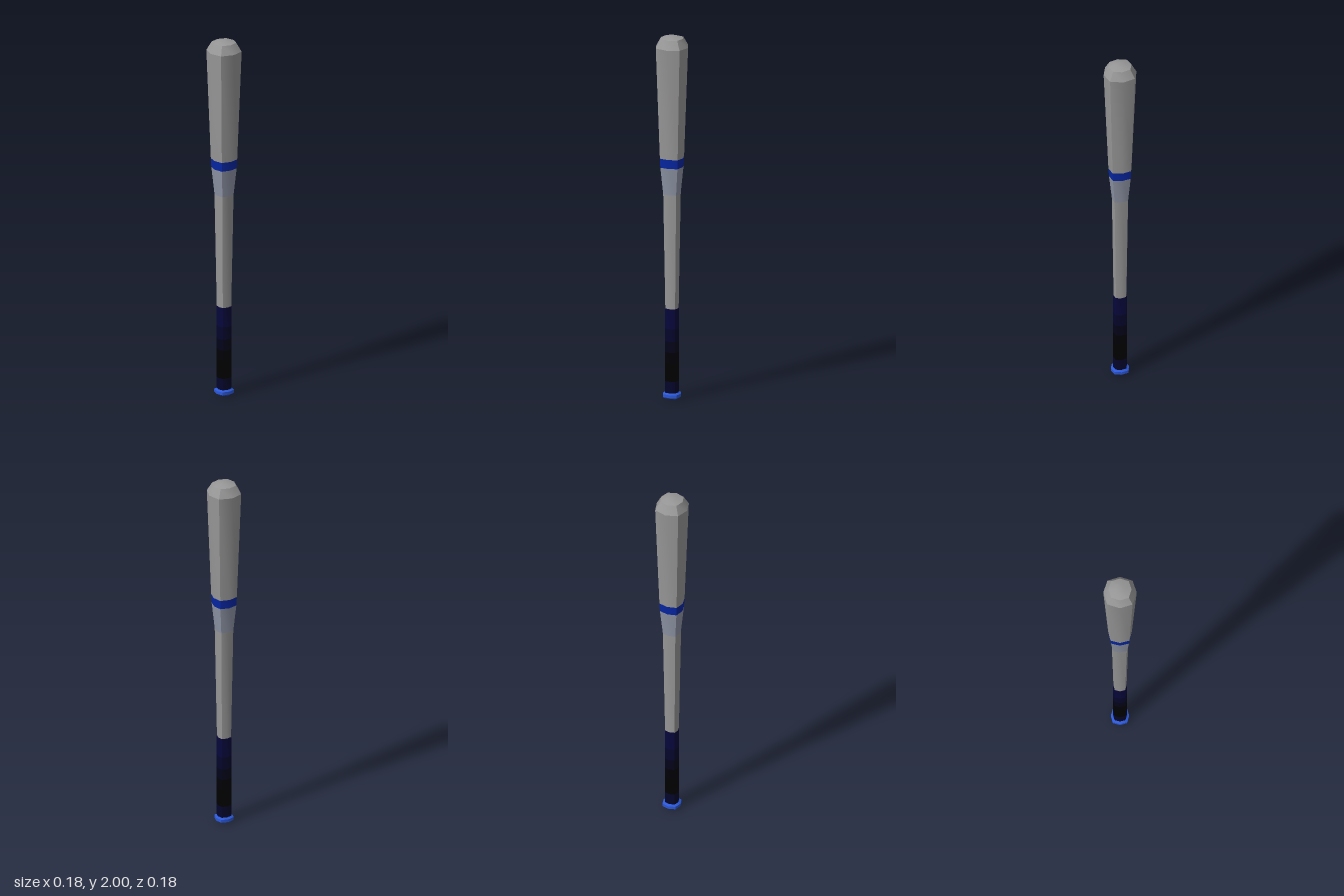
import * as THREE from 'three';
import { toCreasedNormals } from 'three/addons/utils/BufferGeometryUtils.js';

const SIDES = 8;
const METAL = 0x979797;

// Eight-sided turned section from [radius, height, squareness] rows, bottom to top.
// Squareness pushes the diagonal corners out, and only those corners stay sharp.
function turned(name, color, profile) {
  const lathe = new THREE.LatheGeometry(profile.map(([r, y]) => new THREE.Vector2(r, y)), SIDES);
  const pos = lathe.attributes.position;
  for (let i = 0; i < pos.count; i++) {
    const x = pos.getX(i), z = pos.getZ(i);
    const squareness = profile[i % profile.length][2];
    if (Math.min(Math.abs(x), Math.abs(z)) > 0.001) pos.setXYZ(i, x * squareness, pos.getY(i), z * squareness);
  }
  const mesh = new THREE.Mesh(toCreasedNormals(lathe, 0.7), new THREE.MeshStandardMaterial({ color }));
  mesh.name = name;
  return mesh;
}

export function createModel() {
  const bat = new THREE.Group();
  bat.name = 'bat';
  bat.add(
    // rounded knob under the handle
    turned('knob', 0x2c58d8, [[0.038, 0.005, 1.1], [0.049, 0.013, 1.1], [0.049, 0.029, 1.1], [0.037, 0.036, 1.1]]),
    turned('knobBase', 0x040410, [[0, 0, 1], [0.038, 0.005, 1.1]]),
    // shaft widening into the barrel
    turned('shaft', METAL, [[0.035, 0.5, 1.12], [0.044, 1.13, 1.17]]),
    turned('shoulder', 0x8f95a6, [[0.044, 1.13, 1.17], [0.06, 1.28, 1.14]]),
    turned('stripe', 0x0626a4, [[0.06, 1.28, 1.14], [0.063, 1.33, 1.13]]),
    turned('barrel', METAL, [[0.063, 1.33, 1.13], [0.089, 1.94, 1.07]]),
    // chamfered, gently domed end
    turned('barrelEnd', METAL, [[0.089, 1.94, 1.07], [0.062, 1.988, 1.07], [0.029, 1.998, 1.04], [0, 2, 1]])
  );

  // wrapped grip in bands of [lower height, upper height, color], fading to black where the hands sit
  const bands = [
    [0.034, 0.1, 0x04042c], [0.1, 0.2, 0x000000], [0.2, 0.26, 0x000006],
    [0.26, 0.32, 0x02021a], [0.32, 0.39, 0x04042c], [0.39, 0.497, 0x06063c]
  ];
  for (const [low, high, color] of bands) {
    bat.add(turned('gripBand', color, [[0.037, low, 1.1], [0.037, high, 1.1]]));
  }
  bat.add(turned('gripRim', 0x04042c, [[0.037, 0.497, 1.1], [0.034, 0.5, 1.1]]));
  return bat;
}
